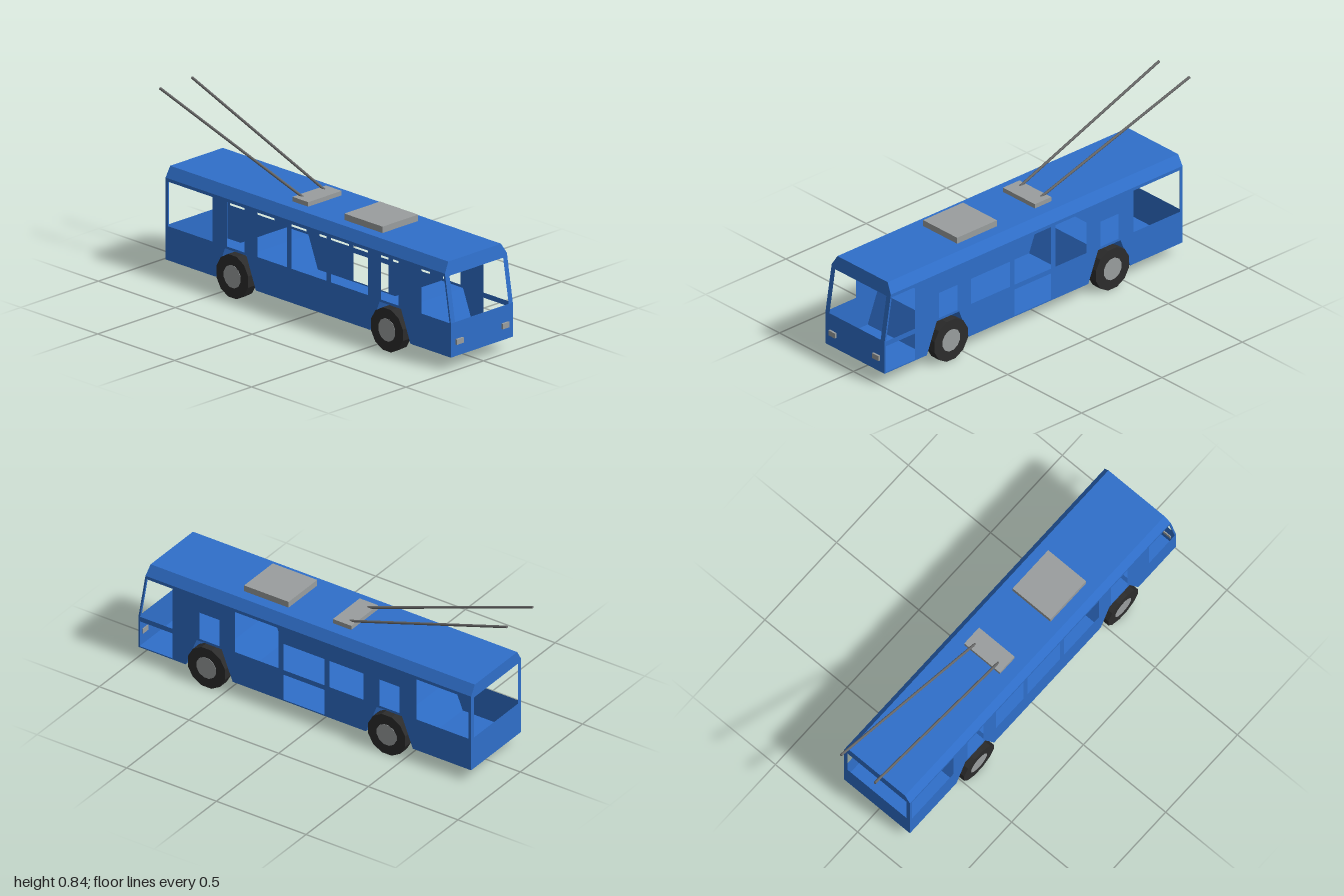
import * as THREE from 'three';

const blue = new THREE.MeshStandardMaterial({ color: 0x2f6fca, side: THREE.DoubleSide });
const grey = new THREE.MeshStandardMaterial({ color: 0x9a9e9f });
const rubber = new THREE.MeshStandardMaterial({ color: 0x2c2c2c });
const steel = new THREE.MeshStandardMaterial({ color: 0x686868 });
blue.name = 'body blue';
grey.name = 'light grey';
rubber.name = 'tyre black';
steel.name = 'pole steel';

// Main dimensions
const HALF = 0.2, TOP_HALF = 0.17;
const FLOOR = 0.064, SILL = 0.23, HEAD = 0.447, EAVE = 0.463, ROOF = 0.513;
const REAR = -0.865, FRONT = 0.99;
const AXLES = [0.596, -0.409];
const frontZ = y => FRONT - Math.max(0, y - SILL) * 0.166;

const rect = (a0, a1, b0, b1) => [[a0, b0], [a1, b0], [a1, b1], [a0, b1]];

// Flat sheet with holes; place maps each 2D point into space
function sheet(name, outline, holes, place) {
  const vec = pts => pts.map(p => new THREE.Vector2(...p));
  const shape = new THREE.Shape(vec(outline));
  shape.holes = holes.map(h => new THREE.Path(vec(h)));
  const geo = new THREE.ShapeGeometry(shape);
  const pos = geo.attributes.position;
  for (let i = 0; i < pos.count; i++) pos.setXYZ(i, ...place(pos.getX(i), pos.getY(i)));
  geo.computeVertexNormals();
  const mesh = new THREE.Mesh(geo, blue);
  mesh.name = name;
  return mesh;
}

// Faceted band joining two rows of points
function band(name, rowA, rowB) {
  const p = [];
  for (let i = 0; i < rowA.length - 1; i++) {
    const [a, b, c, d] = [rowA[i], rowA[i + 1], rowB[i + 1], rowB[i]];
    p.push(...a, ...b, ...c, ...a, ...c, ...d);
  }
  const geo = new THREE.BufferGeometry();
  geo.setAttribute('position', new THREE.Float32BufferAttribute(p, 3));
  geo.computeVertexNormals();
  const mesh = new THREE.Mesh(geo, blue);
  mesh.name = name;
  return mesh;
}

function box(name, material, x0, x1, y0, y1, z0, z1) {
  const mesh = new THREE.Mesh(new THREE.BoxGeometry(x1 - x0, y1 - y0, z1 - z0), material);
  mesh.position.set((x0 + x1) / 2, (y0 + y1) / 2, (z0 + z1) / 2);
  mesh.name = name;
  return mesh;
}

function wheel(side, z) {
  const group = new THREE.Group();
  group.name = 'wheel';
  const disc = (name, r, width, x, material) => {
    const geo = new THREE.CylinderGeometry(r, r, width, 12).toNonIndexed();
    geo.computeVertexNormals();
    geo.rotateY(Math.PI / 12);
    geo.rotateZ(Math.PI / 2);
    const mesh = new THREE.Mesh(geo, material);
    mesh.position.x = side * x;
    mesh.name = name;
    group.add(mesh);
  };
  disc('tyre', 0.107, 0.052, 0.196, rubber);
  disc('hub', 0.056, 0.004, 0.2215, grey);
  group.position.set(0, 0.1035, z);
  return group;
}

function pole(side) {
  const a = new THREE.Vector3(side * 0.07, 0.53, -0.1);
  const b = new THREE.Vector3(side * 0.103, 0.839, -0.998);
  const dir = b.clone().sub(a);
  const mesh = new THREE.Mesh(new THREE.CylinderGeometry(0.0065, 0.0065, dir.length(), 8), steel);
  mesh.position.copy(a).add(b).multiplyScalar(0.5);
  mesh.quaternion.setFromUnitVectors(new THREE.Vector3(0, 1, 0), dir.normalize());
  mesh.name = 'currentPole';
  return mesh;
}

export function createModel() {
  const bus = new THREE.Group();
  bus.name = 'trolleybus';

  // Underside runs front to back and steps up over each axle
  const underside = [[FRONT, FLOOR]];
  for (const z of AXLES) {
    underside.push([z + 0.131, FLOOR], [z + 0.07, 0.218], [z - 0.07, 0.218], [z - 0.131, FLOOR]);
  }
  underside.push([REAR, FLOOR]);
  const row = x => underside.map(([z, y]) => [x, y, z]);
  bus.add(band('floorAndWheelArches', row(-HALF), row(HALF)));

  // Side walls with open windows; doorways only on the left
  const outline = [...underside, [REAR, EAVE], [frontZ(EAVE), EAVE], [FRONT, SILL]];
  const windows = [[0.65, 0.537], [0.452, 0.21], [0.18, -0.047], [-0.075, -0.266],
    [-0.353, -0.465], [-0.56, -0.85]].map(([a, b]) => rect(b, a, SILL, HEAD));
  windows.push([[0.8, SILL], [FRONT - 0.009, SILL], [frontZ(HEAD) - 0.009, HEAD], [0.8, HEAD]]);
  const doors = [rect(0.8, 0.982, 0.07, 0.205), rect(-0.047, 0.18, 0.07, 0.205)];
  bus.add(sheet('leftWall', outline, [...windows, ...doors], (z, y) => [HALF, y, z]));
  bus.add(sheet('rightWall', outline, windows, (z, y) => [-HALF, y, z]));

  // Front and rear ends
  const upper = y => [[-HALF, y], [HALF, y], [HALF, EAVE], [TOP_HALF, ROOF], [-TOP_HALF, ROOF], [-HALF, EAVE]];
  const frontPlace = (x, y) => [x, y, frontZ(y)];
  bus.add(sheet('frontPanel', rect(-HALF, HALF, FLOOR, SILL), [], frontPlace));
  bus.add(sheet('windscreenFrame', upper(SILL),
    [rect(-0.173, 0.173, SILL + 0.001, HEAD)], frontPlace));
  bus.add(sheet('rearWall', upper(FLOOR), [rect(-0.178, 0.178, SILL, HEAD)],
    (x, y) => [-x, y, REAR]));

  // Roof with bevelled sides
  const roofRow = z => [[HALF, EAVE], [TOP_HALF, ROOF], [-TOP_HALF, ROOF], [-HALF, EAVE]]
    .map(([x, y]) => [x, y, z ?? frontZ(y)]);
  bus.add(band('roof', roofRow(), roofRow(REAR)));

  // Roof equipment
  bus.add(box('roofUnit', grey, -0.115, 0.115, ROOF - 0.001, 0.544, 0.212, 0.46));
  bus.add(box('poleBase', grey, -0.108, 0.108, ROOF - 0.001, 0.535, -0.133, -0.03));

  // Paired parts
  for (const side of [-1, 1]) {
    bus.add(pole(side));
    const x = side * 0.1475;
    bus.add(box('headlight', grey, x - 0.0215, x + 0.0215, 0.121, 0.147, 0.985, 1));
    for (const z of AXLES) bus.add(wheel(side, z));
  }
  return bus;
}
